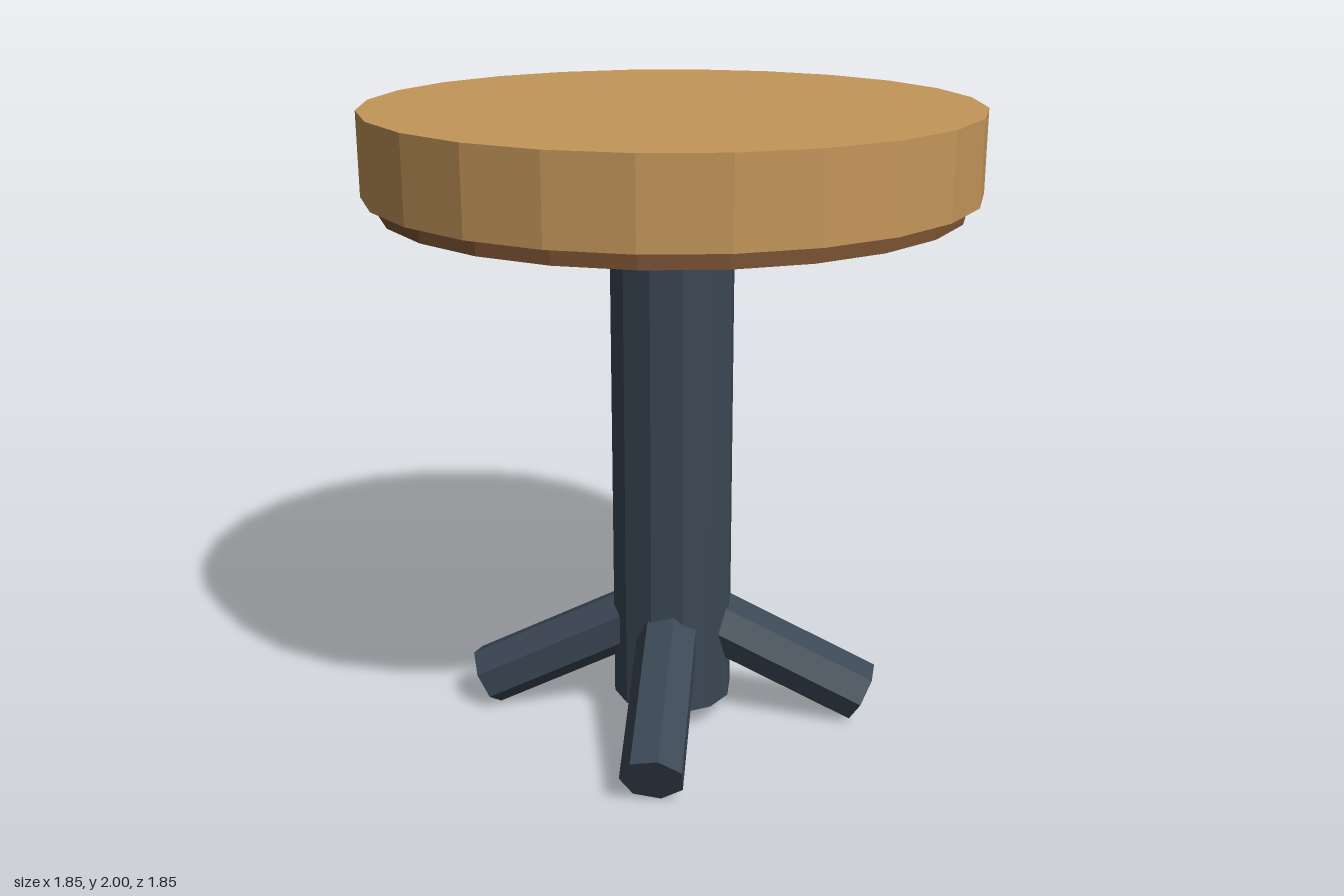
import * as THREE from 'three';

const paint = (color) => new THREE.MeshStandardMaterial({ color, flatShading: true });

export function createModel() {
  const stool = new THREE.Group();
  stool.name = 'stool';
  const wood = paint(0xc4965a);
  const darkWood = paint(0x7a5233);
  const metal = paint(0x3a4754);

  // Upright faceted cylinder between two heights
  const disc = (name, radius, bottom, top, sides, material) => {
    const mesh = new THREE.Mesh(new THREE.CylinderGeometry(radius, radius, top - bottom, sides), material);
    mesh.name = name;
    mesh.position.y = (bottom + top) / 2;
    stool.add(mesh);
  };

  disc('seat', 0.925, 1.75, 2, 24, wood);
  disc('seatUnderside', 0.88, 1.7, 1.75, 24, darkWood);
  disc('column', 0.193, 0.08, 1.63, 12, metal);

  // Four seven-sided legs slope down and outward on the diagonals
  const tilt = 0.46, inner = 0.06, outer = 0.622, footY = 0.09;
  const legGeometry = new THREE.CylinderGeometry(0.1, 0.1, (outer - inner) / Math.cos(tilt), 7);
  for (let i = 0; i < 4; i++) {
    const leg = new THREE.Mesh(legGeometry, metal);
    leg.name = 'leg';
    leg.rotation.z = Math.PI / 2 - tilt + Math.PI;
    leg.position.set((inner + outer) / 2, footY + ((outer - inner) / 2) * Math.tan(tilt), 0);
    // Top of the cylinder points outward and down
    leg.rotation.z = -Math.PI / 2 - tilt;
    const arm = new THREE.Group();
    arm.name = 'legArm';
    arm.rotation.y = Math.PI / 4 + (i * Math.PI) / 2;
    arm.add(leg);
    stool.add(arm);
  }
  return stool;
}
